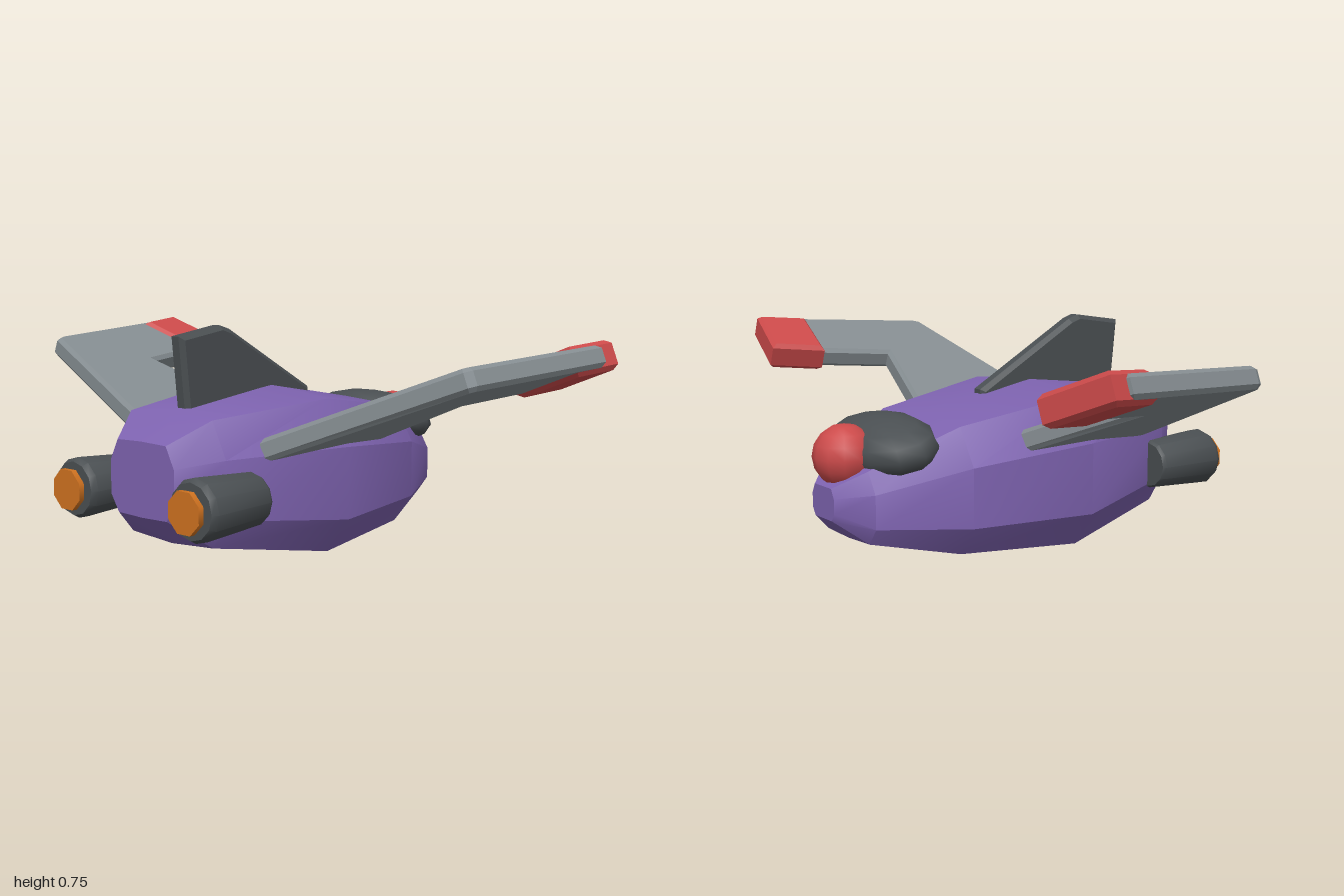
import * as THREE from 'three';
import { toCreasedNormals } from 'three/addons/utils/BufferGeometryUtils.js';

const mat = (name, color, flat = false) => {
  const m = new THREE.MeshStandardMaterial({ color });
  m.name = name;
  m.flatShading = flat;
  return m;
};

export function createModel() {
  const model = new THREE.Group();
  model.name = 'spaceship';
  const purple = mat('purple hull', 0x7e63b0);
  const dark = mat('dark grey', 0x4a4f52);
  const grey = mat('wing grey', 0x858d91);
  const red = mat('red', 0xcc4a4a);
  const orange = mat('engine glow orange', 0xcf7220);

  const add = (name, geometry, material, parent = model) => {
    const mesh = new THREE.Mesh(geometry, material);
    mesh.name = name;
    parent.add(mesh);
    return mesh;
  };

  // Bevelled plate from an outline, centred on its thickness
  const plate = (points, thickness, bevel) => {
    const shape = new THREE.Shape(points.map(([x, y]) => new THREE.Vector2(x, y)));
    const g = new THREE.ExtrudeGeometry(shape, {
      depth: thickness - 2 * bevel, bevelEnabled: true, bevelSegments: 1,
      bevelSize: bevel, bevelThickness: bevel, bevelOffset: -bevel,
    });
    return g.translate(0, 0, bevel - thickness / 2);
  };

  // Hull: chamfered sections [z, half width, bottom, top, crown], tail to nose
  const sections = [
    [0.63, 0.14, 0.19, 0.415, 0.003],
    [0.51, 0.235, 0.10, 0.485, 0.012],
    [0.09, 0.355, 0.03, 0.52, 0.028],
    [-0.33, 0.29, 0.055, 0.455, 0.015],
    [-0.60, 0.165, 0.11, 0.335, 0.005],
    [-0.685, 0.065, 0.18, 0.28, 0],
  ];
  const rings = sections.map(([z, w, b, t, c]) => {
    const h = t - b;
    const half = [[0, b - c], [0.76 * w, b], [w, b + 0.235 * h], [w, t - 0.295 * h], [0.76 * w, t], [0, t + c]];
    const left = half.slice(1, 5).reverse().map(([x, y]) => [-x, y]);
    return [...half, ...left].map(([x, y]) => [x, y, z]);
  });
  const pos = [];
  const n = rings[0].length;
  const tri = (a, b, c) => pos.push(...a, ...b, ...c);
  for (let s = 0; s < rings.length - 1; s++) {
    for (let i = 0; i < n; i++) {
      const j = (i + 1) % n;
      const [a, b, c, d] = [rings[s][i], rings[s + 1][i], rings[s + 1][j], rings[s][j]];
      tri(a, b, c);
      tri(a, c, d);
    }
  }
  const tail = rings[0];
  const nose = rings[rings.length - 1];
  for (let i = 1; i < n - 1; i++) {
    tri(tail[0], tail[i], tail[i + 1]);
    tri(nose[0], nose[i + 1], nose[i]);
  }
  const hull = new THREE.BufferGeometry();
  hull.setAttribute('position', new THREE.Float32BufferAttribute(pos, 3));
  add('hull', toCreasedNormals(hull, 0.5), purple);

  // Canopy and nose ball
  const canopy = add('canopy', new THREE.SphereGeometry(1, 12, 8), dark);
  canopy.scale.set(0.25, 0.095, 0.145);
  canopy.position.set(0, 0.385, -0.475);
  canopy.rotation.x = -0.26;
  add('noseBall', new THREE.SphereGeometry(0.1, 12, 8), red).position.set(0, 0.365, -0.607);

  // Tail fin, outline in (-z, y)
  const fin = plate([[-0.46, 0.45], [-0.488, 0.722], [-0.31, 0.748], [-0.27, 0.735], [0.105, 0.525], [0.105, 0.45]], 0.058, 0.014);
  add('tailFin', fin.rotateY(Math.PI / 2), dark);

  // Wings, tip caps and engines on both sides
  const tilt = Math.atan(0.39);
  const wingOutline = [[0.26, 0.385], [0.885, 0.25], [0.9, 0.225], [0.983, -0.34], [0.745, -0.39], [0.675, -0.03], [0.26, -0.15]];
  const capOutline = [[0.948, -0.225], [0.985, -0.405], [0.76, -0.458], [0.715, -0.275]];
  for (const [side, sx] of [['left', 1], ['right', -1]]) {
    const wing = new THREE.Group();
    wing.name = side + 'WingGroup';
    wing.position.y = 0.287;
    wing.rotation.z = sx * tilt;
    model.add(wing);
    const local = (pts) => pts.map(([x, z]) => [sx * x / Math.cos(tilt), -z]);
    add(side + 'Wing', plate(local(wingOutline), 0.07, 0.013).rotateX(-Math.PI / 2), grey, wing);
    add(side + 'WingTip', plate(local(capOutline), 0.095, 0.014).rotateX(-Math.PI / 2), red, wing);

    const engine = new THREE.Group();
    engine.name = side + 'Engine';
    engine.position.set(sx * 0.26, 0.25, 0);
    model.add(engine);
    const profile = [[0, 0.42], [0.075, 0.42], [0.082, 0.432], [0.096, 0.66], [0.085, 0.68], [0, 0.68]]
      .map(([r, y]) => new THREE.Vector2(r, y));
    add('engineBody', toCreasedNormals(new THREE.LatheGeometry(profile, 12), 0.6).rotateX(Math.PI / 2), dark, engine);
    const glow = new THREE.CylinderGeometry(0.067, 0.067, 0.018, 8).rotateY(Math.PI / 8).rotateX(Math.PI / 2);
    add('engineGlow', glow, orange, engine).position.z = 0.699;
  }
  return model;
}
